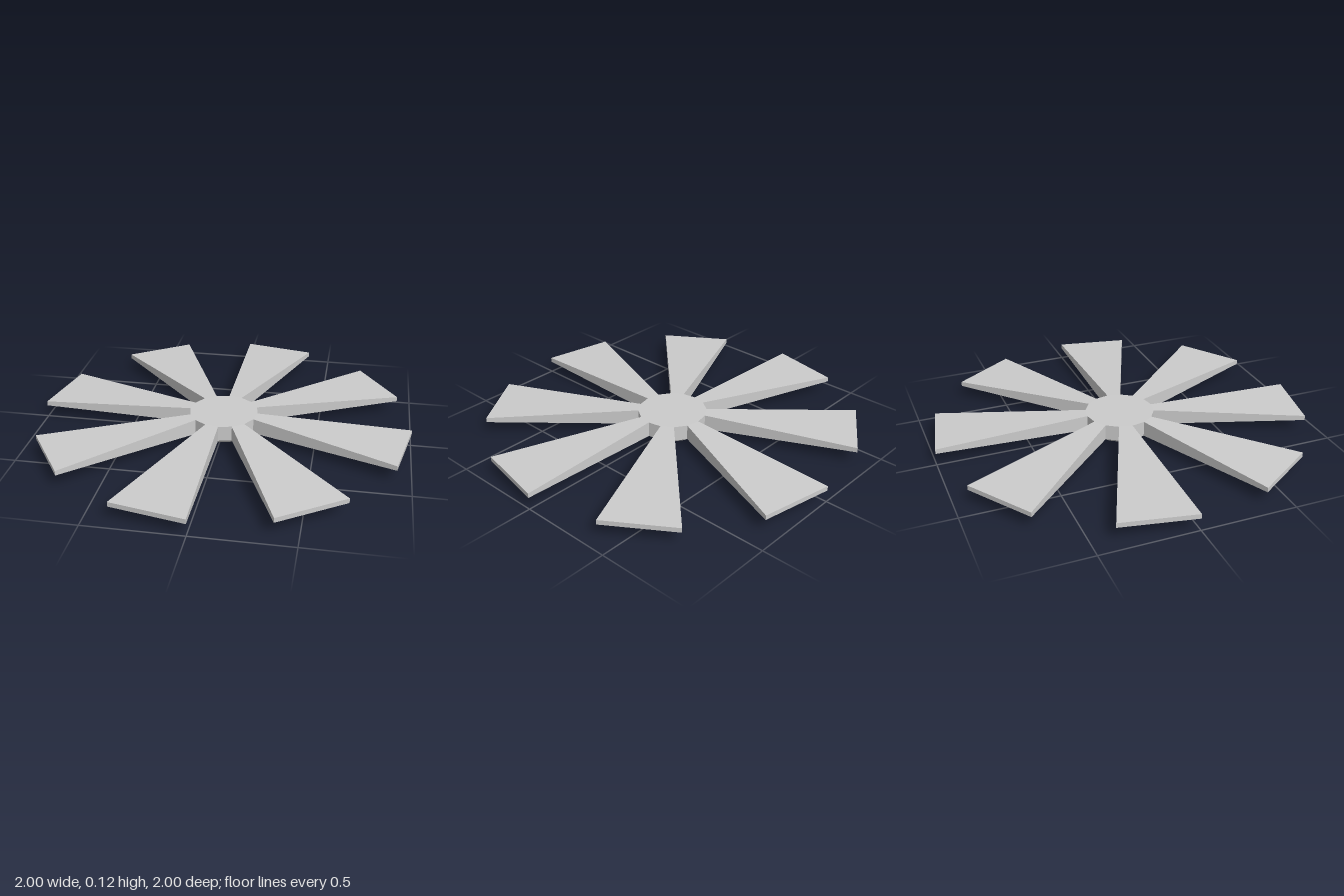
import * as THREE from 'three';

const SIDES = 16;
const STEP = (Math.PI * 2) / SIDES;
const HUB_RADIUS = 0.184;
const HUB_TOP = 0.118, HUB_BOTTOM = 0.035;
const TIP_TOP = 0.09, TIP_BOTTOM = 0.065;

// A box bent into a wedge: x becomes radius, z becomes angle, thinning to the tip
function bladeGeometry() {
  const geometry = new THREE.BoxGeometry(1, 1, 1);
  const p = geometry.attributes.position;
  for (let i = 0; i < p.count; i++) {
    const tip = p.getX(i) > 0, top = p.getY(i) > 0;
    const radius = tip ? 1 : HUB_RADIUS;
    const angle = p.getZ(i) > 0 ? STEP : 0;
    const y = top ? (tip ? TIP_TOP : HUB_TOP) : (tip ? TIP_BOTTOM : HUB_BOTTOM);
    p.setXYZ(i, radius * Math.cos(angle), y, radius * Math.sin(angle));
  }
  geometry.computeVertexNormals();
  return geometry;
}

export function createModel() {
  const model = new THREE.Group();
  model.name = 'bladedWheel';
  const material = new THREE.MeshStandardMaterial({ color: 0xcccccc, flatShading: true });

  // Faceted hub with a tapered boss underneath
  const profile = [
    [0, 0], [0.135, 0], [HUB_RADIUS, HUB_BOTTOM], [HUB_RADIUS, HUB_TOP], [0, HUB_TOP],
  ].map(([r, y]) => new THREE.Vector2(r, y));
  const hub = new THREE.Mesh(new THREE.LatheGeometry(profile, SIDES), material);
  hub.name = 'hub';
  model.add(hub);

  // Eight blades, one on every second side of the hub
  const blade = bladeGeometry();
  for (let i = 0; i < SIDES / 2; i++) {
    const mesh = new THREE.Mesh(blade, material);
    mesh.name = `blade${i + 1}`;
    mesh.rotation.y = i * 2 * STEP;
    model.add(mesh);
  }
  return model;
}
